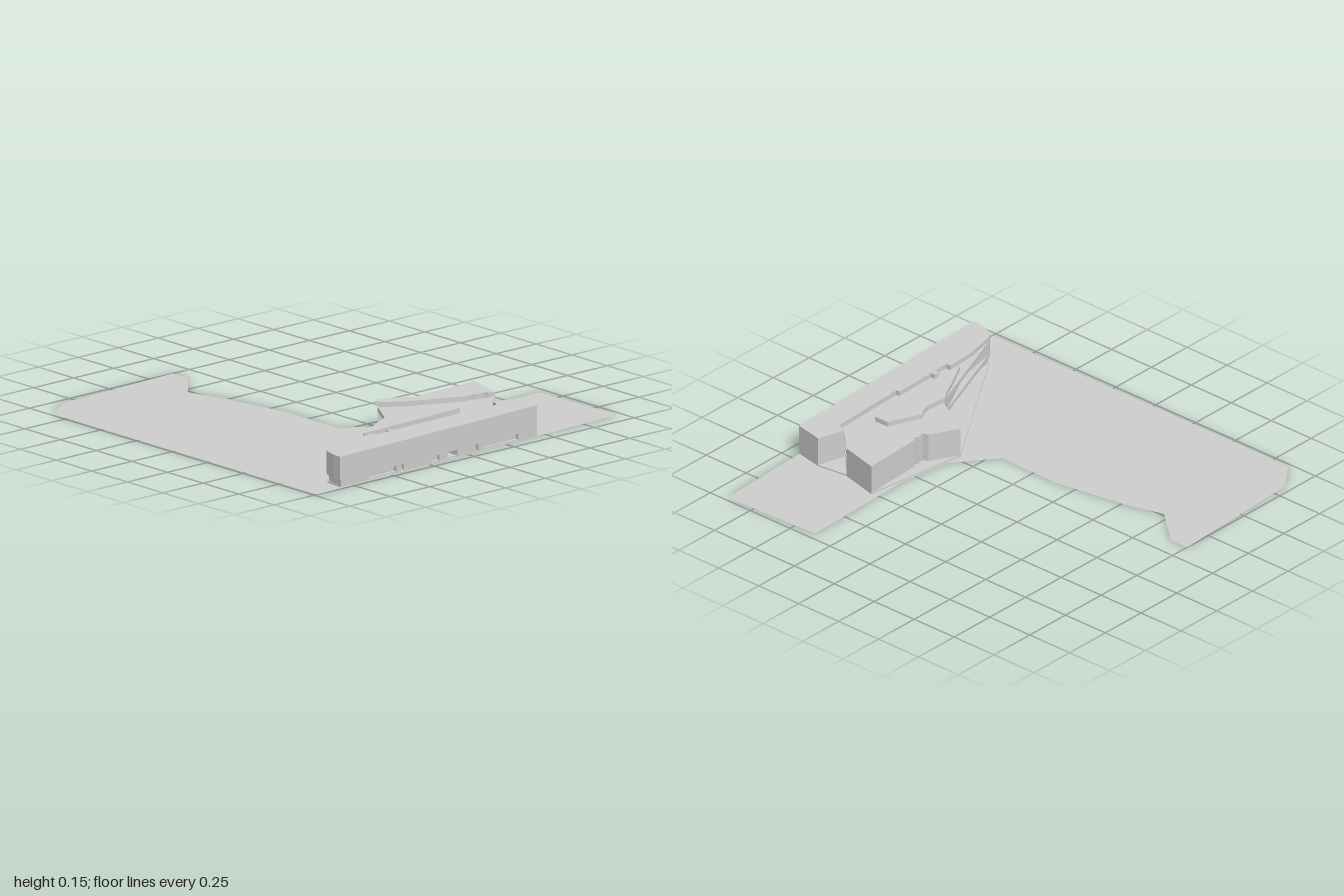
import * as THREE from 'three';

const stone = new THREE.MeshStandardMaterial({ color: 0xcccccc });
stone.name = 'pale grey';
const groundGrey = new THREE.MeshStandardMaterial({ color: 0xcccccc, side: THREE.DoubleSide });
groundGrey.name = 'ground grey';

// Plan outlines are lists of [x, z]
const outline = (pts) => new THREE.Shape(pts.map(([x, z]) => new THREE.Vector2(x, -z)));

function slab(name, pts, y0, y1) {
  const g = new THREE.ExtrudeGeometry(outline(pts), { depth: y1 - y0, bevelEnabled: false });
  g.rotateX(-Math.PI / 2);
  g.translate(0, y0, 0);
  const m = new THREE.Mesh(g, stone);
  m.name = name;
  return m;
}

// z of the slightly skewed street front
const frontZ = (x) => 0.985 - 0.039 * (x + 0.825);

export function createModel() {
  const model = new THREE.Group();
  model.name = 'siteModel';

  // L-shaped ground sheet
  const g = new THREE.ShapeGeometry(outline([
    [-0.98, 1], [0.98, 0.91], [0.96, 0.38], [0.33, 0.4], [0.06, 0.365], [-0.15, 0.2], [-0.145, -0.14],
    [-0.21, -0.53], [-0.265, -0.71], [-0.1, -0.9], [-0.105, -1], [-0.83, -0.96], [-0.985, -0.845],
  ]));
  g.rotateX(-Math.PI / 2);
  const ground = new THREE.Mesh(g, groundGrey);
  ground.name = 'ground';
  model.add(ground);

  // Low plinth under the whole building
  model.add(slab('plinth', [
    [-0.82, 0.98], [-0.81, 0.88], [-0.76, 0.83], [-0.03, 0.355], [0.06, 0.37], [0.51, 0.43],
    [0.46, 0.63], [0.48, 0.79], [0.45, 0.93],
  ], 0.001, 0.008));

  // Street wing: upper storeys
  const barBack = [
    [0.34, 0.75], [0.32, 0.8], [-0.1, 0.82], [-0.1, 0.8], [-0.33, 0.807], [-0.33, 0.785],
    [-0.36, 0.785], [-0.36, 0.81], [-0.44, 0.81], [-0.44, 0.787], [-0.6, 0.795], [-0.76, 0.83],
    [-0.79, 0.85], [-0.81, 0.885], [-0.82, 0.93],
  ];
  model.add(slab('streetWing', [[-0.825, frontZ(-0.825)], [0.45, frontZ(0.45)], [0.48, 0.79], ...barBack], 0.036, 0.15));

  // Street wing: ground floor in two halves with shopfront recesses and a passage between
  const front = (x0, x1, recesses) => {
    const pts = [[x0, frontZ(x0)]];
    for (const [a, b] of recesses) {
      pts.push([a, frontZ(a)], [a, frontZ(a) - 0.02], [b, frontZ(b) - 0.02], [b, frontZ(b)]);
    }
    pts.push([x1, frontZ(x1)]);
    return pts;
  };
  model.add(slab('groundFloorRight', [
    ...front(-0.82, -0.13, [[-0.64, -0.46], [-0.43, -0.41], [-0.23, -0.18]]),
    [-0.13, 0.81], [-0.6, 0.81], [-0.76, 0.835], [-0.805, 0.885],
  ], 0.001, 0.036));
  model.add(slab('groundFloorLeft', [
    ...front(-0.065, 0.45, [[0.05, 0.07], [0.1, 0.33]]),
    [0.48, 0.79], [0.34, 0.75], [0.32, 0.8], [-0.065, 0.82],
  ], 0.001, 0.036));

  // Rear wing with stepped facades
  model.add(slab('rearWing', [
    [-0.07, 0.4], [0.04, 0.48], [0.31, 0.6], [0.35, 0.595], [0.36, 0.605], [0.42, 0.605], [0.43, 0.62],
    [0.46, 0.63], [0.51, 0.43], [0.19, 0.445], [0.175, 0.465], [0.165, 0.45], [0.12, 0.455], [0.11, 0.43], [-0.03, 0.355],
  ], 0.005, 0.15));

  // Courtyard decks between the wings
  const deck = [
    [-0.76, 0.83], [-0.44, 0.82], [0.33, 0.81], [0.34, 0.75], [0.46, 0.63], [0.31, 0.59],
    [0.04, 0.47], [-0.07, 0.4], [-0.19, 0.6], [-0.24, 0.63],
  ];
  model.add(slab('upperDeck', deck, 0.105, 0.126));
  model.add(slab('lowerDeck', deck, 0.036, 0.056));
  model.add(slab('courtyardCore', [
    [-0.45, 0.8], [0.25, 0.8], [0.22, 0.66], [0, 0.58], [-0.18, 0.63],
  ], 0.056, 0.105));

  // Raised hall with a curved rear wall
  const arc = new THREE.QuadraticBezierCurve(
    new THREE.Vector2(-0.13, 0.61), new THREE.Vector2(-0.06, 0.62), new THREE.Vector2(-0.02, 0.58),
  ).getPoints(8).map((p) => [p.x, p.y]);
  model.add(slab('hall', [
    [-0.47, 0.785], [-0.47, 0.75], [-0.24, 0.63], [-0.2, 0.603], ...arc, [0.15, 0.65], [0.15, 0.73], [-0.1, 0.742], [-0.47, 0.757],
  ].slice(1), 0.056, 0.15));

  return model;
}
